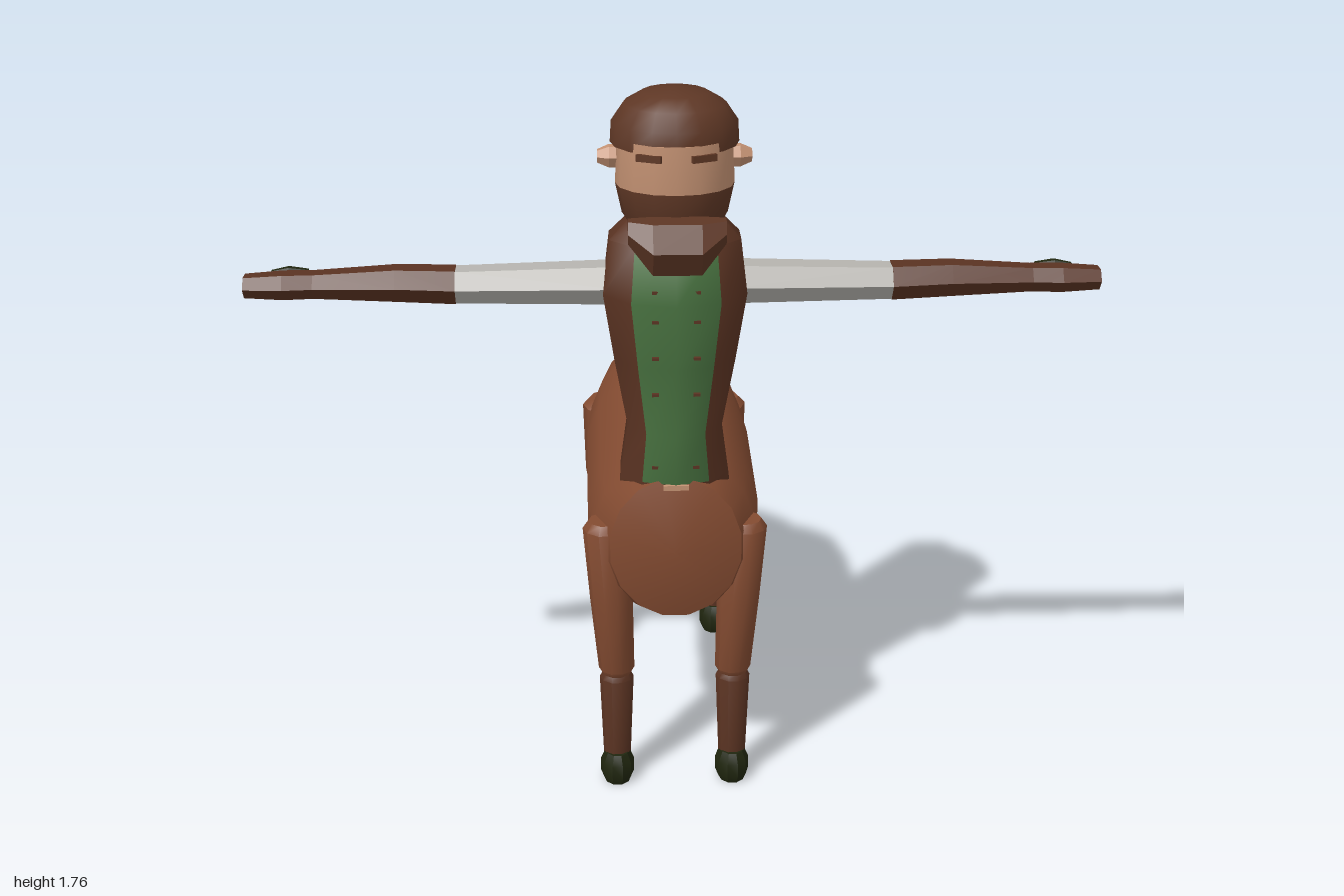
import * as THREE from 'three';
import { toCreasedNormals } from 'three/addons/utils/BufferGeometryUtils.js';

const mat = (name, color) => {
  const m = new THREE.MeshStandardMaterial({ color });
  m.name = name;
  return m;
};

// Elliptical ring of n points around c, spanned by vectors u and v
function ring(c, u, v, n, offset = 0) {
  return Array.from({ length: n }, (_, i) => {
    const a = ((i + offset) / n) * Math.PI * 2, s = Math.sin(a), k = Math.cos(a);
    return [0, 1, 2].map((d) => c[d] + u[d] * k + v[d] * s);
  });
}

// Closed skin over rings; pick(row, column) chooses the material index of a quad
function loft(name, rings, mats, crease = 0.7, pick = () => 0, tips = []) {
  const lists = mats.map(() => []);
  const n = rings[0].length, last = rings.length - 1;
  const mid = (r) => [0, 1, 2].map((d) => r.reduce((s, p) => s + p[d], 0) / n);
  const ends = [tips[0] || mid(rings[0]), tips[1] || mid(rings[last])];
  for (let j = 0; j < n; j++) {
    const k = (j + 1) % n;
    for (let i = 0; i < last; i++) {
      const [a, b, c, d] = [rings[i][j], rings[i][k], rings[i + 1][k], rings[i + 1][j]];
      lists[pick(i, j)].push([a, b, c], [a, c, d]);
    }
    lists[pick(0, j)].push([ends[0], rings[0][k], rings[0][j]]);
    lists[pick(last - 1, j)].push([ends[1], rings[last][j], rings[last][k]]);
  }
  // Turn the skin outward if its signed volume is negative
  const V = (p) => new THREE.Vector3(...p);
  const o = mid(rings[0]);
  let volume = 0;
  lists.flat().forEach(([a, b, c]) => {
    volume += V(a).sub(V(o)).dot(V(b).sub(V(o)).cross(V(c).sub(V(o))));
  });
  if (volume < 0) lists.flat().forEach((t) => t.reverse());
  let g = new THREE.BufferGeometry();
  g.setAttribute('position', new THREE.Float32BufferAttribute(lists.flat(3), 3));
  let start = 0;
  lists.forEach((l, i) => {
    g.addGroup(start, l.length * 3, i);
    start += l.length * 3;
  });
  g = toCreasedNormals(g, crease);
  const mesh = new THREE.Mesh(g, mats.length > 1 ? mats : mats[0]);
  mesh.name = name;
  return mesh;
}

export function createModel() {
  const model = new THREE.Group();
  model.name = 'centaur';
  const coat = mat('chestnut coat', 0x834b31);
  const dark = mat('dark brown', 0x5a3322);
  const hair = mat('hair brown', 0x5e3725);
  const green = mat('green vest', 0x47703f);
  const white = mat('white sleeve', 0xb6b4af);
  const skin = mat('skin', 0xc49273);
  const hoof = mat('hoof', 0x20260f);
  const add = (m) => (model.add(m), m);
  const plate = (name, m, w, h, d, x, y, z) => {
    const p = add(new THREE.Mesh(new THREE.BoxGeometry(w, h, d), m));
    p.name = name;
    p.position.set(x, y, z);
    return p;
  };

  // Horse barrel: z, bottom, top, half width
  const barrel = [
    [0.59, 0.48, 0.845, 0.16], [0.5, 0.445, 0.865, 0.2], [0.38, 0.42, 0.88, 0.215],
    [-0.03, 0.44, 0.893, 0.217], [-0.2, 0.473, 0.89, 0.205], [-0.33, 0.505, 0.885, 0.175],
    [-0.4, 0.53, 0.835, 0.145], [-0.455, 0.58, 0.79, 0.09],
  ].map(([z, b, t, w]) => ring([0, (b + t) / 2, z], [w, 0, 0], [0, (t - b) / 2, 0], 16, 0.5));
  add(loft('horseBody', barrel, [coat], 0.6, undefined, [[0, 0.67, 0.64], [0, 0.69, -0.49]]));

  // Torso: y, half width, back z, front z; the two front columns are the vest
  const torso = [
    [0.79, 0.14, 0.345, 0.59], [0.83, 0.135, 0.345, 0.603], [0.95, 0.118, 0.347, 0.6],
    [1.12, 0.15, 0.342, 0.612], [1.28, 0.176, 0.338, 0.628], [1.41, 0.16, 0.36, 0.605],
    [1.46, 0.11, 0.405, 0.56],
  ].map(([y, w, b, f]) => ring([0, y, (b + f) / 2], [0, 0, (f - b) / 2], [w, 0, 0], 10));
  add(loft('torsoAndVest', torso, [dark, green], 0.8,
    (i, j) => (i > 0 && i < 5 && (j === 0 || j === 9) ? 1 : 0)));
  for (const y of [0.87, 1.06, 1.15, 1.24, 1.31, 1.38])
    for (const s of [-1, 1])
      plate('vestButton', dark, 0.016, 0.007, 0.008, s * 0.048, y, 0.598 + 0.012 * Math.min(1, (y - 0.87) * 3) - (y > 1.3 ? 0.003 : 0) - (y < 1 ? 0.013 : 0));
  plate('beltBuckle', skin, 0.06, 0.012, 0.009, 0, 0.825, 0.603);

  // Head: beard in front below, hair behind above
  const head = [
    [1.42, 0.09, 0.09], [1.47, 0.122, 0.116], [1.54, 0.137, 0.125], [1.65, 0.132, 0.125],
  ].map(([y, w, d]) => ring([0, y, 0.495], [0, 0, d], [w, 0, 0], 16));
  add(loft('headAndBeard', head, [skin, hair], 0.9, (i, j) => {
    const front = Math.cos(((j + 0.5) / 16) * Math.PI * 2);
    return i < 2 ? (front > 0 ? 1 : 0) : (front < -0.4 ? 1 : 0);
  }));
  const cap = [
    [1.63, 0.148, 0.145], [1.68, 0.145, 0.147], [1.72, 0.118, 0.12], [1.745, 0.075, 0.08],
  ].map(([y, w, d]) => ring([0, y, 0.472], [0, 0, d], [w, 0, 0], 16));
  add(loft('hairCap', cap, [hair], 0.8, undefined, [null, [0, 1.757, 0.472]]));
  for (const s of [-1, 1]) {
    const brow = plate('eyebrow', hair, 0.06, 0.016, 0.009, s * 0.062, 1.622, 0.606);
    brow.rotation.y = s * 0.42;
  }

  // Bundled chin beard jutting forward
  const chin = [[-0.11, 0.465, 0.03], [-0.055, 0.43, 0.068], [0.055, 0.43, 0.068], [0.11, 0.465, 0.03]]
    .map(([x, y, r]) => ring([x, y + 1, 0.64], [0, 0, r], [0, r, 0], 6));
  add(loft('chinBeard', chin, [hair], 0.1));

  // Ponytail hanging behind the head
  const pony = [[1.645, 0.305, 0.048], [1.23, 0.28, 0.058]]
    .map(([y, z, d]) => ring([0, y, z], [0, 0.005, -d], [0.08, 0, 0], 8));
  add(loft('ponytail', pony, [hair], 0.8));

  // Horse tail: y, z, thickness vector (y, z), half width
  const tail = [
    [0.755, -0.478, 0.036, -0.014, 0.04], [0.602, -0.615, 0.028, -0.065, 0.065],
    [0.225, -0.66, 0.005, -0.036, 0.035],
  ].map(([y, z, uy, uz, w]) => ring([0, y, z], [0, uy, uz], [w, 0, 0], 6));
  add(loft('tail', tail, [dark], 0.1));

  for (const s of [-1, 1]) {
    const side = s > 0 ? 'left' : 'right';

    // Arms: x, y, z, half height, half depth
    const arm = (rows) => rows.map(([x, y, z, h, d]) =>
      ring([s * x, y, z], [0, 0, d], [0, h, 0], 6));
    add(loft(side + 'Sleeve', arm([
      [0.12, 1.292, 0.465, 0.053, 0.064], [0.51, 1.288, 0.46, 0.044, 0.054],
    ]), [white], 0.1));
    add(loft(side + 'ForearmAndHand', arm([
      [0.51, 1.288, 0.46, 0.046, 0.055], [0.65, 1.293, 0.46, 0.044, 0.052],
      [0.84, 1.292, 0.462, 0.033, 0.042], [0.91, 1.292, 0.466, 0.034, 0.044],
      [1.0, 1.292, 0.468, 0.028, 0.036],
    ]), [dark], 0.1));
    add(loft(side + 'HandPatch', arm([
      [0.855, 1.307, 0.431, 0.014, 0.012], [0.9, 1.308, 0.433, 0.021, 0.016],
      [0.94, 1.307, 0.438, 0.014, 0.012],
    ]), [hoof], 0.1));

    // Ear
    const ear = [[0.12, 0.027], [0.15, 0.028], [0.177, 0.016]]
      .map(([x, r]) => ring([s * x, 1.597, 0.475], [0, 0, r], [0, r, 0], 6));
    add(loft(side + 'Ear', ear, [skin], 0.1));

    // Legs: each row is height, x, z, radius
    const leg = (rows) => rows.map(([y, x, z, r]) => ring([s * x, y, z], [r, 0, 0], [0, 0, r], 10));
    for (const [pos, z, topZ, topX, r] of [['Front', 0.525, 0.527, 0.167, 0.056], ['Hind', -0.283, -0.297, 0.15, 0.076]]) {
      const name = side + pos;
      add(loft(name + 'UpperLeg', leg([
        [0.71, topX, topZ, r * 0.75], [0.69, topX, topZ, r], [0.5, 0.155, (z + topZ) / 2, 0.045 + (r - 0.045) * 0.65],
        [0.31, 0.144, z, 0.044], [0.297, 0.144, z, 0.036],
      ]), [coat], 0.7));
      add(loft(name + 'LowerLeg', leg([
        [0.3, 0.144, z, 0.034], [0.285, 0.144, z, 0.042], [0.05, 0.144, z, 0.033],
      ]), [dark], 0.7));
      add(loft(name + 'Hoof', leg([
        [0, 0.144, z + 0.005, 0.042], [0.02, 0.144, z + 0.005, 0.052],
        [0.055, 0.144, z + 0.005, 0.052], [0.08, 0.144, z + 0.005, 0.038],
      ]).map((r2) => r2.map(([x, y, q]) => [s * 0.144 + (x - s * 0.144) * 0.8, y, q])), [hoof], 0.5));
    }
  }
  return model;
}
